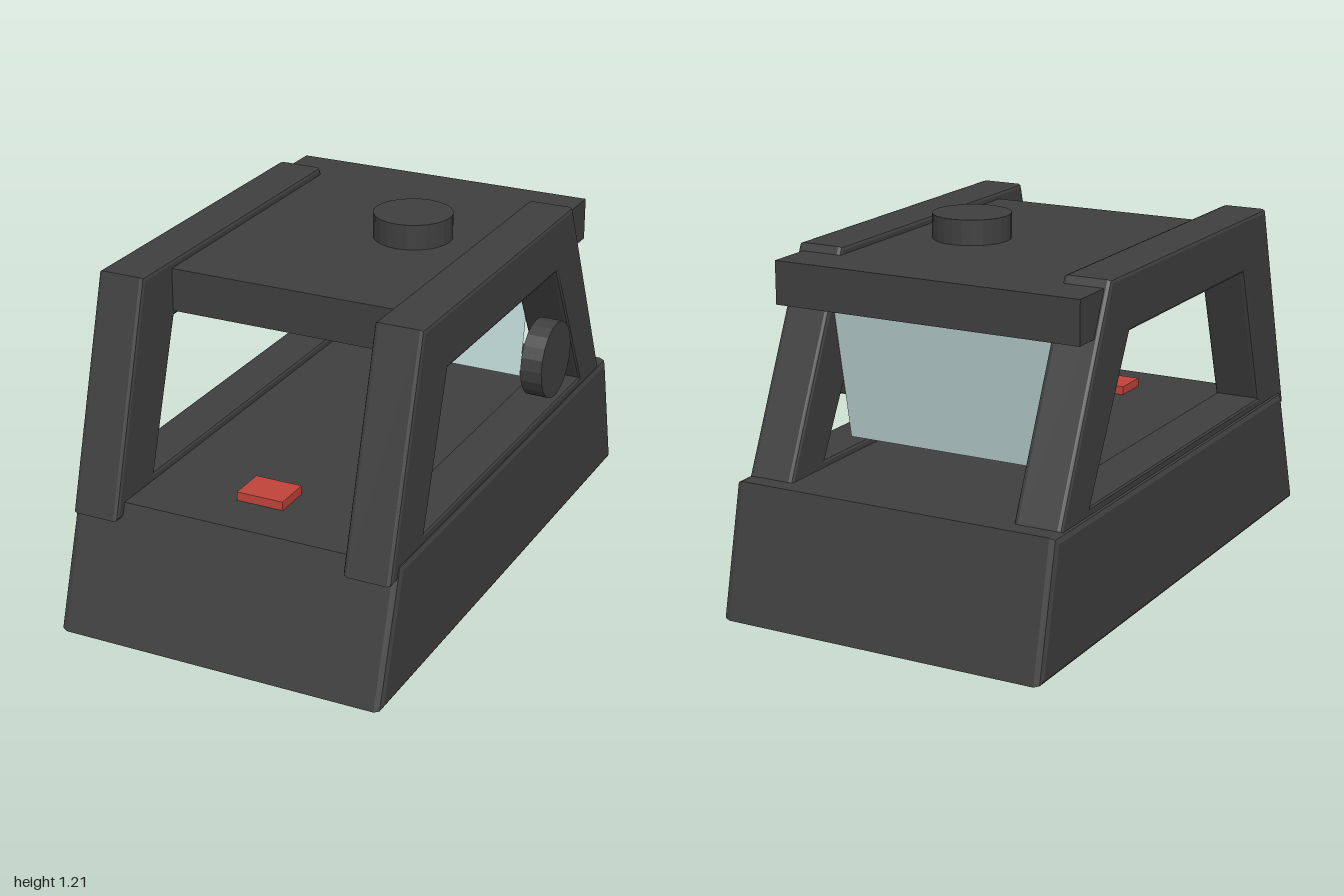
import * as THREE from 'three';

// Extrudes a [z, y] outline (with optional hole) across x from x0 to x1, bevelled edges
function sidewaysExtrude(outline, hole, x0, x1, bevel) {
  const toPoints = (list) => list.map(([z, y]) => new THREE.Vector2(z, y));
  const shape = new THREE.Shape(toPoints(outline));
  if (hole) shape.holes.push(new THREE.Path(toPoints(hole)));
  const depth = x1 - x0 - 2 * bevel;
  const geometry = new THREE.ExtrudeGeometry(shape, {
    depth, bevelEnabled: true, bevelThickness: bevel, bevelSize: bevel * 0.8,
    bevelOffset: -bevel * 0.8, bevelSegments: 2,
  });
  geometry.rotateY(-Math.PI / 2);
  geometry.translate((x0 + x1 + depth) / 2, 0, 0);
  return geometry;
}

// Box given by its minimum and maximum corners
function boxBetween(a, b) {
  const geometry = new THREE.BoxGeometry(b[0] - a[0], b[1] - a[1], b[2] - a[2]);
  geometry.translate((a[0] + b[0]) / 2, (a[1] + b[1]) / 2, (a[2] + b[2]) / 2);
  return geometry;
}

export function createModel() {
  const model = new THREE.Group();
  model.name = 'cabFrame';

  const charcoal = new THREE.MeshStandardMaterial({ color: 0x3f3f3f, flatShading: true });
  charcoal.name = 'charcoal';
  const red = new THREE.MeshStandardMaterial({ color: 0xc0443a });
  red.name = 'red';
  const glass = new THREE.MeshStandardMaterial({ color: 0xbcd6d1, side: THREE.DoubleSide });
  glass.name = 'paleGlass';

  const add = (name, geometry, material) => {
    const mesh = new THREE.Mesh(geometry, material);
    mesh.name = name;
    model.add(mesh);
    return mesh;
  };

  // Tapered base block
  add('base', sidewaysExtrude(
    [[1, 0], [0.86, 0.44], [-0.9, 0.44], [-1, 0]], null, -0.605, 0.55, 0.025), charcoal);

  // Trapezoid side frames with window openings
  const frameOutline = [[0.91, 0.39], [0.69, 1.145], [-0.52, 1.145], [-0.863, 0.39]];
  const frameOpening = [[0.67, 0.465], [0.51, 0.955], [-0.385, 0.955], [-0.645, 0.465]];
  add('rightFrame', sidewaysExtrude(frameOutline, frameOpening, -0.59, -0.425, 0.015), charcoal);
  add('leftFrame', sidewaysExtrude(frameOutline, frameOpening, 0.375, 0.54, 0.015), charcoal);

  // Roof slab, reaching out past the rear pillars
  add('roof', boxBetween([-0.57, 0.975, -0.69], [0.52, 1.12, 0.52]), charcoal);

  // Round button on the roof
  const roofButton = add('roofButton', new THREE.CylinderGeometry(0.133, 0.133, 0.1, 24), charcoal);
  roofButton.position.set(0.14, 1.155, -0.09);

  // Round knob in the left opening
  const sideKnob = add('sideKnob', new THREE.CylinderGeometry(0.133, 0.133, 0.075, 20), charcoal);
  sideKnob.rotation.z = Math.PI / 2;
  sideKnob.position.set(0.5625, 0.7, -0.25);

  // Slightly tilted rear pane
  const low = { y: 0.5, z: -0.49 };
  const high = { y: 0.945, z: -0.575 };
  const height = Math.hypot(high.y - low.y, high.z - low.z);
  const pane = add('rearPane', new THREE.PlaneGeometry(0.8, height), glass);
  pane.rotation.x = Math.atan2(high.z - low.z, high.y - low.y);
  pane.position.set(-0.025, (low.y + high.y) / 2, (low.z + high.z) / 2);

  // Red pad on the deck
  add('redPad', boxBetween([-0.11, 0.435, 0.56], [0.055, 0.47, 0.69]), red);

  return model;
}
